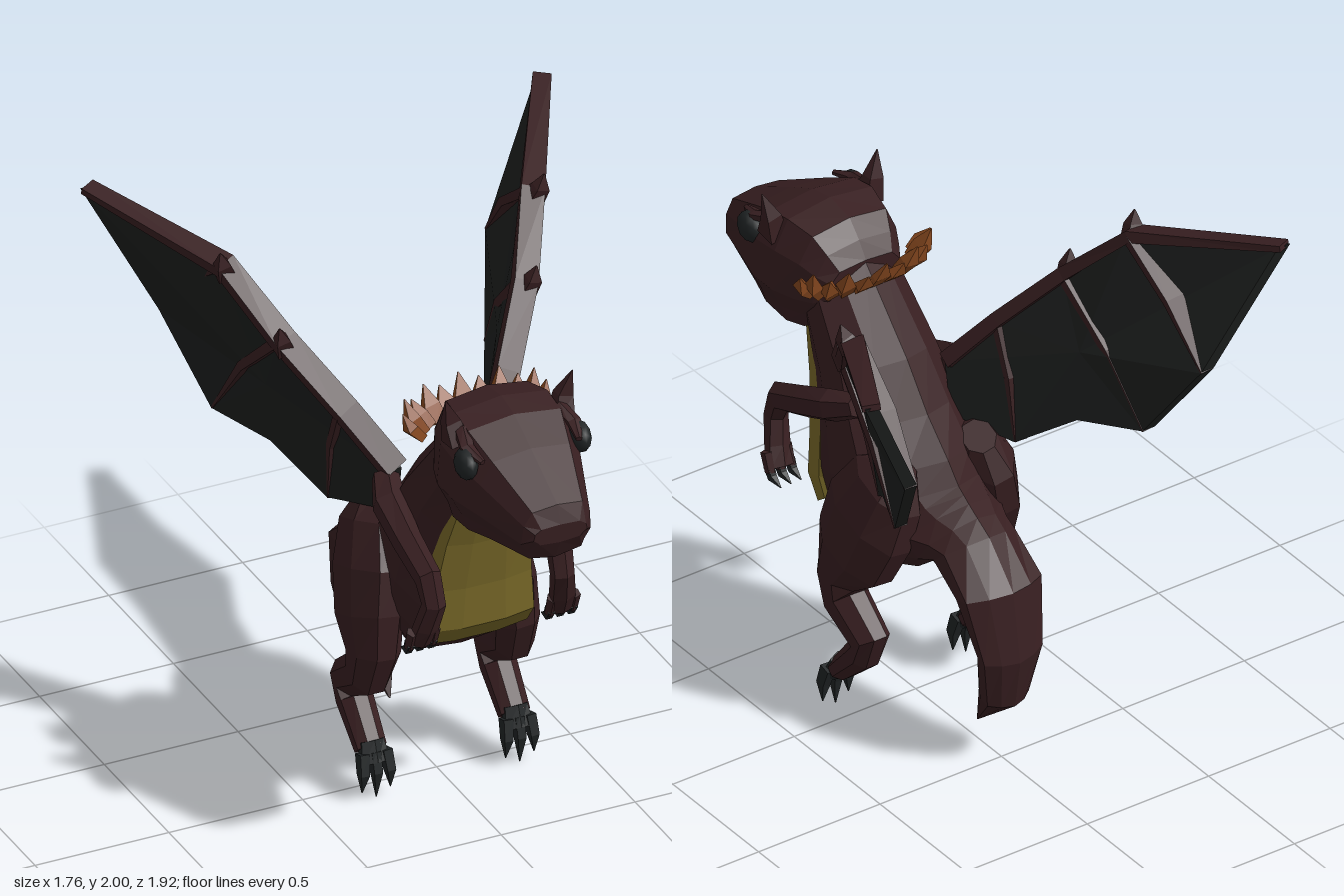
import * as THREE from 'three';

const V = (x, y, z) => new THREE.Vector3(x, y, z);
const mat = (name, color) => Object.assign(new THREE.MeshStandardMaterial({ color }), { name });

// Faceted geometry from a list of triangles
function facets(tris) {
  const g = new THREE.BufferGeometry();
  g.setAttribute('position', new THREE.Float32BufferAttribute(tris.flat().flatMap(p => p.toArray()), 3));
  g.computeVertexNormals();
  return g;
}

// Closed skin over equal-sized rings, turned outwards by the sign of its volume
function loft(rings) {
  const tris = [];
  const n = rings[0].length;
  for (let r = 0; r < rings.length - 1; r++) {
    for (let i = 0; i < n; i++) {
      const j = (i + 1) % n;
      const [a, b, c, d] = [rings[r][i], rings[r][j], rings[r + 1][j], rings[r + 1][i]];
      tris.push([a, b, c], [a, c, d]);
    }
  }
  const cap = (ring, flip) => {
    const m = ring.reduce((s, p) => s.add(p), V(0, 0, 0)).divideScalar(n);
    ring.forEach((p, i) => {
      const q = ring[(i + 1) % n];
      tris.push(flip ? [m, q, p] : [m, p, q]);
    });
  };
  cap(rings[0], true);
  cap(rings[rings.length - 1], false);
  const volume = tris.reduce((s, [a, b, c]) => s + a.dot(b.clone().cross(c)), 0);
  return facets(volume < 0 ? tris.map(([a, b, c]) => [a, c, b]) : tris);
}

// Symmetric body: sections [topZ, topY, bottomZ, bottomY, halfWidth], half outline [t, x]
function profileLoft(sections, outline) {
  const ring = [...outline, ...outline.slice().reverse().filter(p => p[1] > 0).map(([t, x]) => [t, -x])];
  return loft(sections.map(([tz, ty, bz, by, w]) => ring.map(([t, x]) => {
    const k = (t + 1) / 2;
    return V(x * w, by + (ty - by) * k, bz + (tz - bz) * k);
  })));
}

// Limb along points [x, y, z, radius sideways, radius front to back], s mirrors it
function limb(points, s = 1, sides = 6) {
  const c = points.map(p => V(p[0] * s, p[1], p[2]));
  return loft(points.map((p, i) => {
    const t = c[Math.min(i + 1, c.length - 1)].clone().sub(c[Math.max(i - 1, 0)]).normalize();
    const u = V(1, 0, 0).addScaledVector(t, -t.x).normalize();
    const v = t.clone().cross(u);
    return Array.from({ length: sides }, (_, k) => {
      const a = (k + 0.5) / sides * Math.PI * 2;
      return c[i].clone().addScaledVector(u, Math.cos(a) * p[3]).addScaledVector(v, Math.sin(a) * p[4]);
    });
  }));
}

export function createModel() {
  const model = new THREE.Group();
  model.name = 'dragon';
  const hide = mat('maroon hide', 0x381f21);
  const bellyMat = mat('olive belly', 0x7a6a29);
  const dark = mat('dark claw', 0x202425);
  const skin = mat('black wing skin', 0x1d1f1e);
  const horn = mat('orange horn', 0x8a4a20);
  const add = (name, geometry, material, parent = model) => {
    const m = new THREE.Mesh(geometry, material);
    m.name = name;
    parent.add(m);
  };

  // Neck, torso and tail in one skin
  add('body', profileLoft([
    [0.30, 1.58, 0.47, 1.33, 0.165], [0.05, 1.31, 0.39, 1.15, 0.195], [-0.07, 1.15, 0.345, 0.98, 0.22],
    [-0.19, 1.03, 0.335, 0.80, 0.235], [-0.25, 0.96, 0.29, 0.67, 0.23], [-0.28, 0.94, 0.19, 0.59, 0.22],
    [-0.31, 0.92, 0.0, 0.575, 0.20], [-0.36, 0.89, -0.18, 0.64, 0.16], [-0.43, 0.85, -0.25, 0.70, 0.145],
    [-0.57, 0.70, -0.40, 0.66, 0.155], [-0.61, 0.44, -0.49, 0.48, 0.12], [-0.58, 0.25, -0.455, 0.28, 0.085],
    [-0.365, 0.08, -0.36, 0.08, 0.003],
  ], [[1, 0], [0.78, 0.55], [0.35, 1], [-0.35, 1], [-0.95, 0.75], [-1, 0]]), hide);

  add('bellyPlate', profileLoft([
    [0.32, 1.36, 0.465, 1.28, 0.135], [0.2, 1.2, 0.415, 1.11, 0.16], [0.17, 0.97, 0.38, 0.92, 0.185],
    [0.15, 0.82, 0.37, 0.76, 0.20], [0.15, 0.79, 0.30, 0.675, 0.205],
  ], [[1, 0], [1, 0.6], [-0.2, 1], [-0.85, 0.97], [-1, 0.4], [-1, 0]]), bellyMat);

  add('head', profileLoft([
    [0.29, 1.58, 0.30, 1.40, 0.15], [0.33, 1.64, 0.36, 1.31, 0.18], [0.385, 1.70, 0.43, 1.26, 0.21],
    [0.50, 1.72, 0.50, 1.25, 0.24], [0.60, 1.70, 0.62, 1.265, 0.24], [0.73, 1.635, 0.72, 1.285, 0.20],
    [0.935, 1.525, 0.915, 1.31, 0.13], [0.96, 1.46, 0.957, 1.39, 0.10],
  ], [[1, 0], [0.9, 0.72], [0.45, 0.95], [-0.2, 1], [-0.55, 0.83], [-0.82, 0.75], [-1, 0]]), hide);

  // Leaf-shaped spikes round the back of the head
  const frill = new THREE.Group();
  frill.name = 'frill';
  model.add(frill);
  for (let i = -5; i <= 5; i++) {
    const a = i / 5 * 1.35, sx = Math.sin(a), cz = Math.cos(a);
    const h = i % 2 ? 0.085 : 0.115;
    const [rx, rz] = [0.022 + 0.022 * cz, 0.02 + 0.02 * Math.abs(sx)];
    const [x, z] = [0.215 * sx, 0.345 - 0.105 * cz];
    add('frillSpike', limb([[x, 1.515, z, rx * 0.8, rz * 0.8],
      [x + 0.04 * sx, 1.52 + h * 0.4, z - 0.04 * cz, rx, rz],
      [x + 0.06 * sx, 1.52 + h, z - 0.015 - 0.06 * cz, 0.002, 0.002]], 1, 4), horn, frill);
  }

  for (const s of [1, -1]) {
    const side = s > 0 ? 'left' : 'right';
    const group = name => {
      const g = new THREE.Group();
      g.name = side + name;
      model.add(g);
      return g;
    };

    // Face
    const face = group('Face');
    add('eye', new THREE.IcosahedronGeometry(0.058, 1).scale(0.65, 1, 1).translate(s * 0.212, 1.595, 0.665), dark, face);
    add('brow', limb([[0.18, 1.665, 0.57, 0.03, 0.025], [0.20, 1.645, 0.65, 0.028, 0.016], [0.18, 1.625, 0.73, 0.012, 0.01]], s), hide, face);
    add('ear', limb([[0.195, 1.62, 0.555, 0.05, 0.06], [0.21, 1.70, 0.545, 0.04, 0.032], [0.237, 1.79, 0.56, 0.002, 0.002]], s, 4), hide, face);

    // Arm with three clawed fingers
    const arm = group('Arm');
    add('arm', limb([[0.21, 1.21, 0.04, 0.05, 0.045], [0.245, 1.17, 0.14, 0.06, 0.06], [0.25, 1.105, 0.29, 0.05, 0.058],
      [0.245, 1.04, 0.44, 0.045, 0.055], [0.24, 0.95, 0.475, 0.042, 0.042], [0.255, 0.85, 0.445, 0.048, 0.035],
      [0.262, 0.78, 0.415, 0.055, 0.028]], s), hide, arm);
    for (const k of [-1, 0, 1]) {
      const x = 0.262 + k * 0.042;
      add('finger', limb([[x, 0.84, 0.44, 0.02, 0.024], [x, 0.77, 0.415, 0.018, 0.022]], s, 5), hide, arm);
      add('fingerClaw', limb([[x, 0.79, 0.425, 0.018, 0.024], [x, 0.755, 0.405, 0.016, 0.02], [x, 0.74, 0.355, 0.002, 0.002]], s, 4), dark, arm);
    }

    // Hind leg with dark foot
    const leg = group('Leg');
    add('leg', limb([[0.16, 1.04, -0.14, 0.06, 0.07], [0.19, 0.96, -0.11, 0.10, 0.16], [0.225, 0.82, -0.055, 0.11, 0.20],
      [0.25, 0.67, -0.005, 0.105, 0.18], [0.26, 0.55, 0.05, 0.09, 0.11], [0.268, 0.46, 0.025, 0.078, 0.09],
      [0.268, 0.365, -0.115, 0.068, 0.078], [0.268, 0.30, -0.08, 0.065, 0.062], [0.268, 0.17, 0.045, 0.058, 0.045]], s, 8), hide, leg);
    add('foot', limb([[0.268, 0.20, 0.045, 0.048, 0.036], [0.268, 0.13, 0.08, 0.06, 0.028]], s), dark, leg);
    for (const k of [-1, 0, 1]) {
      const x = 0.268 + k * 0.043;
      add('toeClaw', limb([[x, 0.17, 0.07, 0.024, 0.032], [x + k * 0.006, 0.10, 0.09, 0.022, 0.028],
        [x + k * 0.01, k ? 0.03 : 0.003, 0.088, 0.002, 0.002]], s, 4), dark, leg);
    }

    // Wing: leading edge joints, then trailing edge points
    const wing = group('Wing');
    const root = [0.18, 1.24, 0.05], mid = [0.30, 1.43, -0.08], j1 = [0.45, 1.65, -0.25];
    const j2 = [0.575, 1.87, -0.45], tip = [0.85, 1.985, -0.945];
    const t2 = [0.61, 1.51, -0.835], t1 = [0.51, 1.205, -0.635], dip = [0.40, 1.17, -0.41];
    const t0 = [0.28, 1.02, -0.215], base = [0.17, 1.06, 0.0];
    const outline = [root, mid, j1, j2, tip, t2, t1, dip, t0, base];
    add('wingSkin', loft([-0.025, 0.025].map(d => outline.map(([x, y, z]) => V(s * (x + d), y, z)))), skin, wing);
    add('leadingBone', limb([[...root, 0.06, 0.04], [...mid, 0.06, 0.036], [...j1, 0.06, 0.034],
      [...j2, 0.058, 0.03], [...tip, 0.045, 0.016]], s, 4), hide, wing);
    // Curved fingers of the wing
    for (const [a, b, r] of [[mid, t0, 0.024], [j1, t1, 0.027], [j2, t2, 0.025]]) {
      const m = a.map((v, i) => (v + b[i]) / 2 + [0, 0.025, -0.02][i]);
      add('wingFinger', limb([[...a, 0.052, r], [...m, 0.05, r * 0.85], [...b, 0.036, 0.006]], s, 4), hide, wing);
    }
    // Thumb spikes on the joints
    for (const [x, y, z] of [j1, j2]) {
      add('wingSpike', limb([[x, y - 0.03, z, 0.045, 0.045], [x + 0.02, y + 0.02, z + 0.025, 0.035, 0.03],
        [x + 0.03, y + 0.07, z + 0.03, 0.003, 0.003]], s, 4), hide, wing);
    }
  }
  return model;
}
